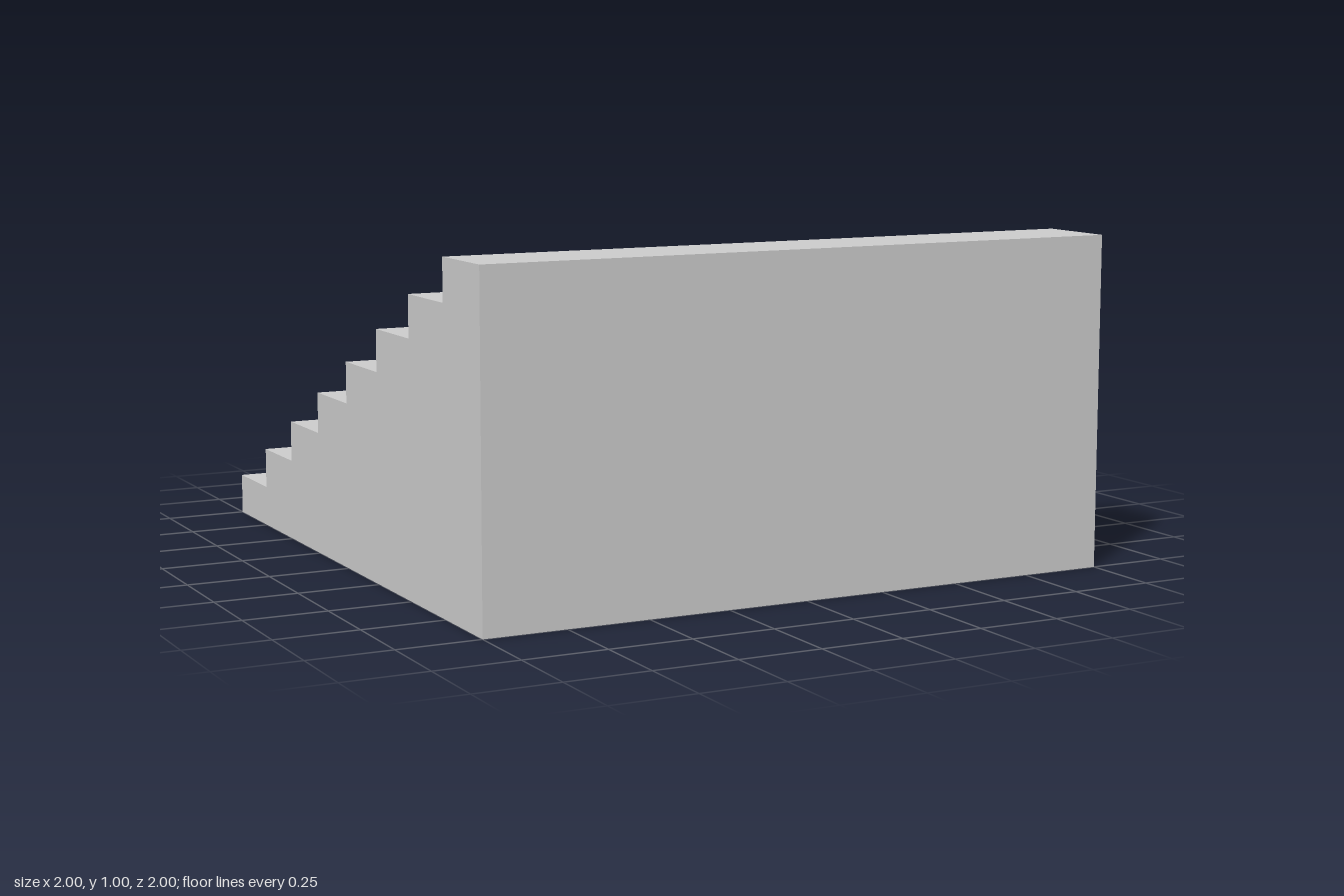
import * as THREE from 'three';

const STEPS = 8;
const WIDTH = 2;
const DEPTH = 2;
const HEIGHT = 1;

export function createModel() {
  const group = new THREE.Group();
  group.name = 'staircase';

  // Side profile: shape x runs along world z, rising from the back to the front
  const run = DEPTH / STEPS;
  const rise = HEIGHT / STEPS;
  const profile = new THREE.Shape();
  profile.moveTo(DEPTH / 2, 0);
  profile.lineTo(DEPTH / 2, HEIGHT);
  for (let i = STEPS - 1; i >= 0; i--) {
    const z = -DEPTH / 2 + i * run;
    profile.lineTo(z, (i + 1) * rise); // tread
    profile.lineTo(z, i * rise); // riser
  }
  profile.closePath();

  // Solid flight of steps, extruded across the width
  const geometry = new THREE.ExtrudeGeometry(profile, { depth: WIDTH, bevelEnabled: false });
  geometry.translate(0, 0, -WIDTH / 2);
  geometry.rotateY(-Math.PI / 2);

  const steps = new THREE.Mesh(
    geometry,
    new THREE.MeshStandardMaterial({ color: 0xcccccc, flatShading: true })
  );
  steps.name = 'steps';
  group.add(steps);
  return group;
}
